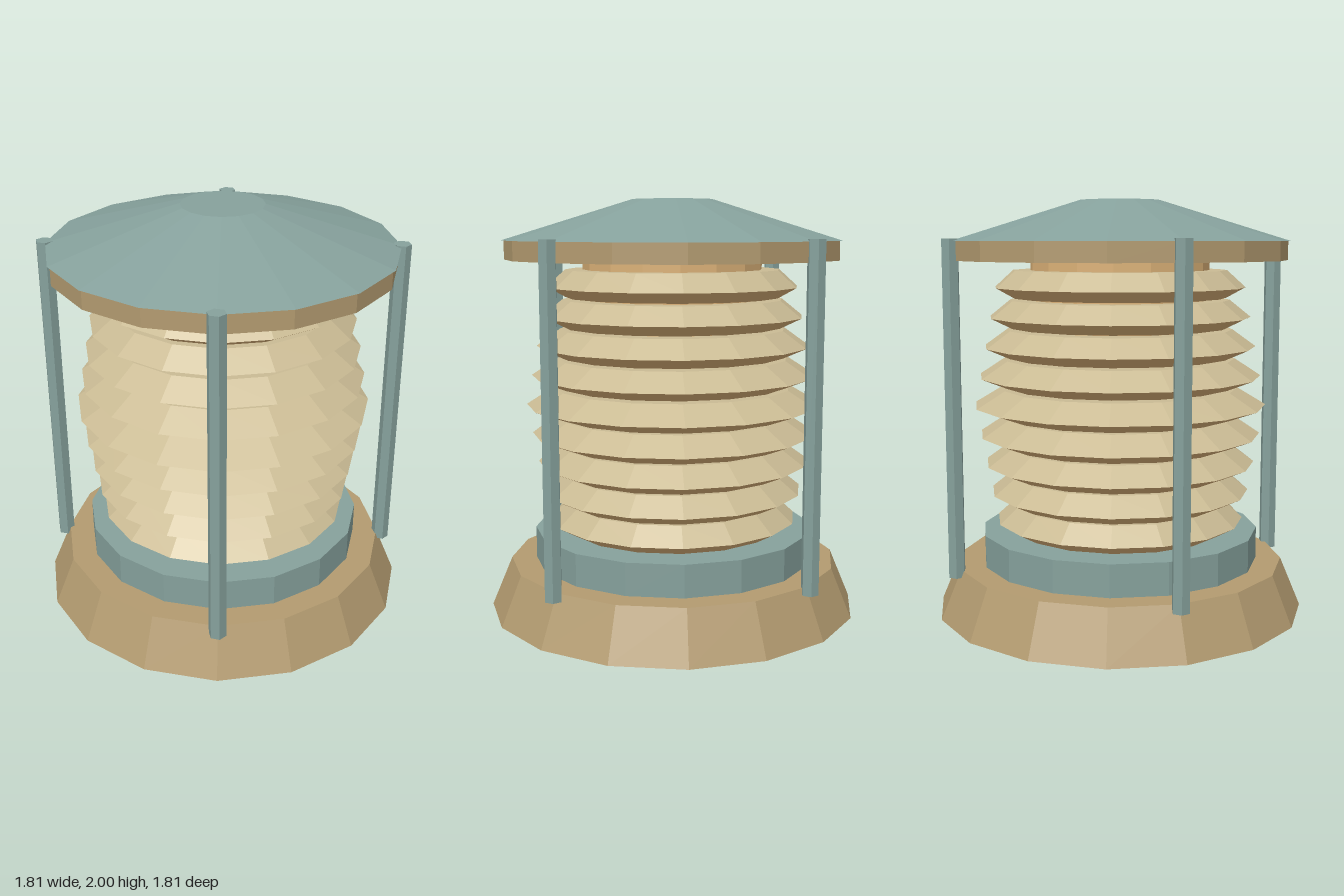
import * as THREE from 'three';

const SIDES = 16;
const CORE_RADIUS = 0.435;

const material = (name, color, side = THREE.FrontSide) =>
  Object.assign(new THREE.MeshStandardMaterial({ color, side }), { name });

// Split shared corners so every facet is flat
function faceted(geometry) {
  const flat = geometry.toNonIndexed();
  flat.computeVertexNormals();
  return flat;
}

export function createModel() {
  const lantern = new THREE.Group();
  lantern.name = 'lantern';

  const teal = material('weathered teal', 0x86a19c);
  const wood = material('tan wood', 0xb39b70);
  const cream = material('cream glass', 0xcabb94);
  const amber = material('amber glass', 0xdcb278);

  function add(name, geometry, mat, parent = lantern) {
    const mesh = new THREE.Mesh(faceted(geometry), mat);
    mesh.name = name;
    parent.add(mesh);
    return mesh;
  }

  // Round part between two heights
  function drum(name, rBottom, rTop, y0, y1, mat, sides = SIDES) {
    const mesh = add(name, new THREE.CylinderGeometry(rTop, rBottom, y1 - y0, sides), mat);
    mesh.position.y = (y0 + y1) / 2;
    return mesh;
  }

  // Profile points run from bottom to top
  const lathe = (points) =>
    new THREE.LatheGeometry(points.map(([r, y]) => new THREE.Vector2(r, y)), SIDES);

  // Base and collar
  drum('base', 0.905, 0.805, 0, 0.24, wood);
  drum('collar', 0.682, 0.682, 0.24, 0.395, teal);

  // Core behind the lens rings
  drum('lensCore', CORE_RADIUS, CORE_RADIUS, 0.395, 1.715, amber);

  // Stacked lens rings, widest in the middle
  const lens = new THREE.Group();
  lens.name = 'lens';
  lantern.add(lens);
  for (let i = 0; i < 9; i++) {
    const y = 0.395 + i * 0.1425;
    const tip = 0.715 - 0.0262 * Math.abs(i - 4);
    const edge = 0.52 + (tip - 0.61) * 0.55;
    const yTip = y + 0.05;
    const yTop = y + 0.132;
    add('lensRingLower', lathe([[CORE_RADIUS - 0.01, y], [edge, y], [tip, yTip]]), amber, lens);
    add('lensRingUpper', lathe([[tip, yTip], [edge, yTop], [CORE_RADIUS - 0.01, yTop]]), cream, lens);
  }

  // Roof
  drum('roofRim', 0.81, 0.81, 1.715, 1.806, wood);
  drum('roof', 0.822, 0.195, 1.806, 2, teal);

  // Four hexagonal posts
  for (const sx of [-1, 1]) {
    for (const sz of [-1, 1]) {
      const post = drum('post', 0.0425, 0.0425, 0.21, 1.817, teal, 6);
      post.position.x = sx * 0.583;
      post.position.z = sz * 0.583;
      post.rotation.y = Math.PI / 2;
    }
  }

  return lantern;
}
